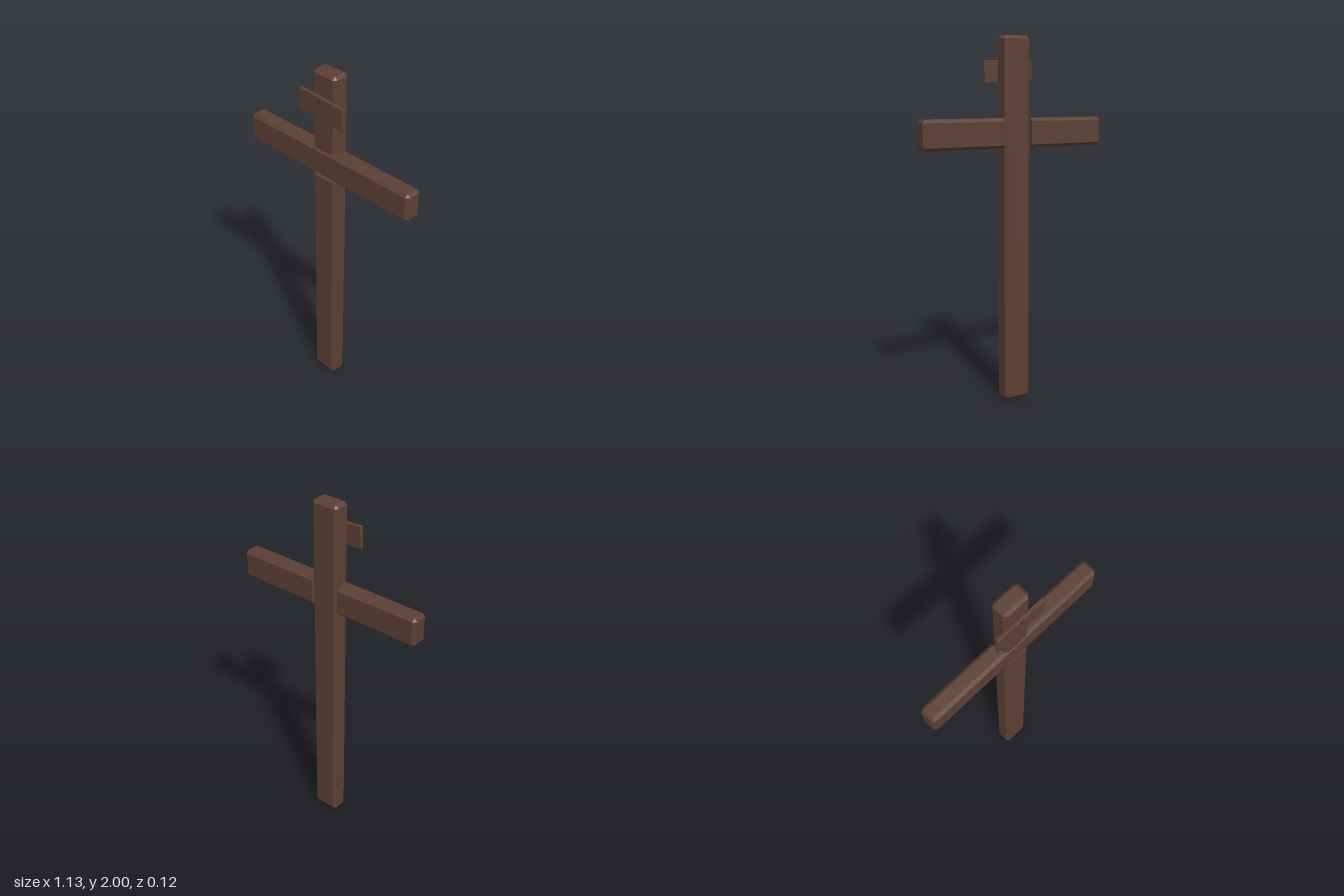
import * as THREE from 'three';

const BACK = -0.063, FRONT = 0.034, LAP = -0.015; // timber depth and lap joint plane

// Bevelled timber along y, as octagonal cross-sections; an optional notch
// { from, to, clamp } flattens the section over part of its length.
function timber(halfW, z0, z1, y0, y1, c, notch) {
  const x = halfW, xi = halfW - c, a = z0 + c, b = z1 - c;
  const full = [[x, b], [x, a], [xi, z0], [-xi, z0], [-x, a], [-x, b], [-xi, z1], [xi, z1]];
  const end = full.map(([px, pz]) => [
    THREE.MathUtils.clamp(px, -xi, xi), THREE.MathUtils.clamp(pz, a, b)]);
  const rings = [[y0, end], [y0 + c, full]];
  if (notch) {
    const cut = full.map(([px, pz]) => [px, notch.clamp(pz)]);
    rings.push([notch.from, full], [notch.from, cut], [notch.to, cut], [notch.to, full]);
  }
  rings.push([y1 - c, full], [y1, end]);

  const positions = [], index = [], n = full.length;
  rings.forEach(([y, ring]) => ring.forEach(([px, pz]) => positions.push(px, y, pz)));
  const last = (rings.length - 1) * n;
  for (let r = 0; r < last; r += n) {
    for (let j = 0; j < n; j++) {
      const k = (j + 1) % n;
      index.push(r + j, r + k, r + n + k, r + j, r + n + k, r + n + j);
    }
  }
  for (let j = 1; j < n - 1; j++) {
    index.push(0, j + 1, j, last, last + j, last + j + 1);
  }
  const indexed = new THREE.BufferGeometry();
  indexed.setAttribute('position', new THREE.Float32BufferAttribute(positions, 3));
  indexed.setIndex(index);
  const geometry = indexed.toNonIndexed();
  geometry.computeVertexNormals();
  return geometry;
}

export function createModel() {
  const wood = new THREE.MeshStandardMaterial({ color: 0x5c4033 });
  wood.name = 'dark wood';
  const iron = new THREE.MeshStandardMaterial({ color: 0x2b2b2e });
  iron.name = 'dark iron';

  const model = new THREE.Group();
  model.name = 'woodenCross';
  const add = (name, geometry, material) => {
    const mesh = new THREE.Mesh(geometry, material);
    mesh.name = name;
    model.add(mesh);
    return mesh;
  };

  // Upright, notched in front for the beam
  add('upright', timber(0.08, BACK, FRONT, 0, 2, 0.017,
    { from: 1.401, to: 1.571, clamp: (z) => Math.min(z, LAP) }), wood);

  // Crossbeam, notched behind for the upright
  const beam = add('crossbeam', timber(0.08, BACK, FRONT, -0.565, 0.565, 0.017,
    { from: -0.085, to: 0.085, clamp: (z) => Math.max(z, LAP) }), wood);
  beam.rotation.z = Math.PI / 2;
  beam.position.y = 1.486;

  // Small crooked board hung from one nail
  const board = add('signBoard', timber(0.152, -0.01, 0.01, -0.06, 0.06, 0.003), wood);
  board.position.set(0, 1.817, 0.047);
  board.rotation.z = -0.055;

  const nail = add('nail', new THREE.CylinderGeometry(0.007, 0.007, 0.03, 8), iron);
  nail.rotation.x = Math.PI / 2;
  nail.position.set(0, 1.863, 0.047);

  return model;
}
